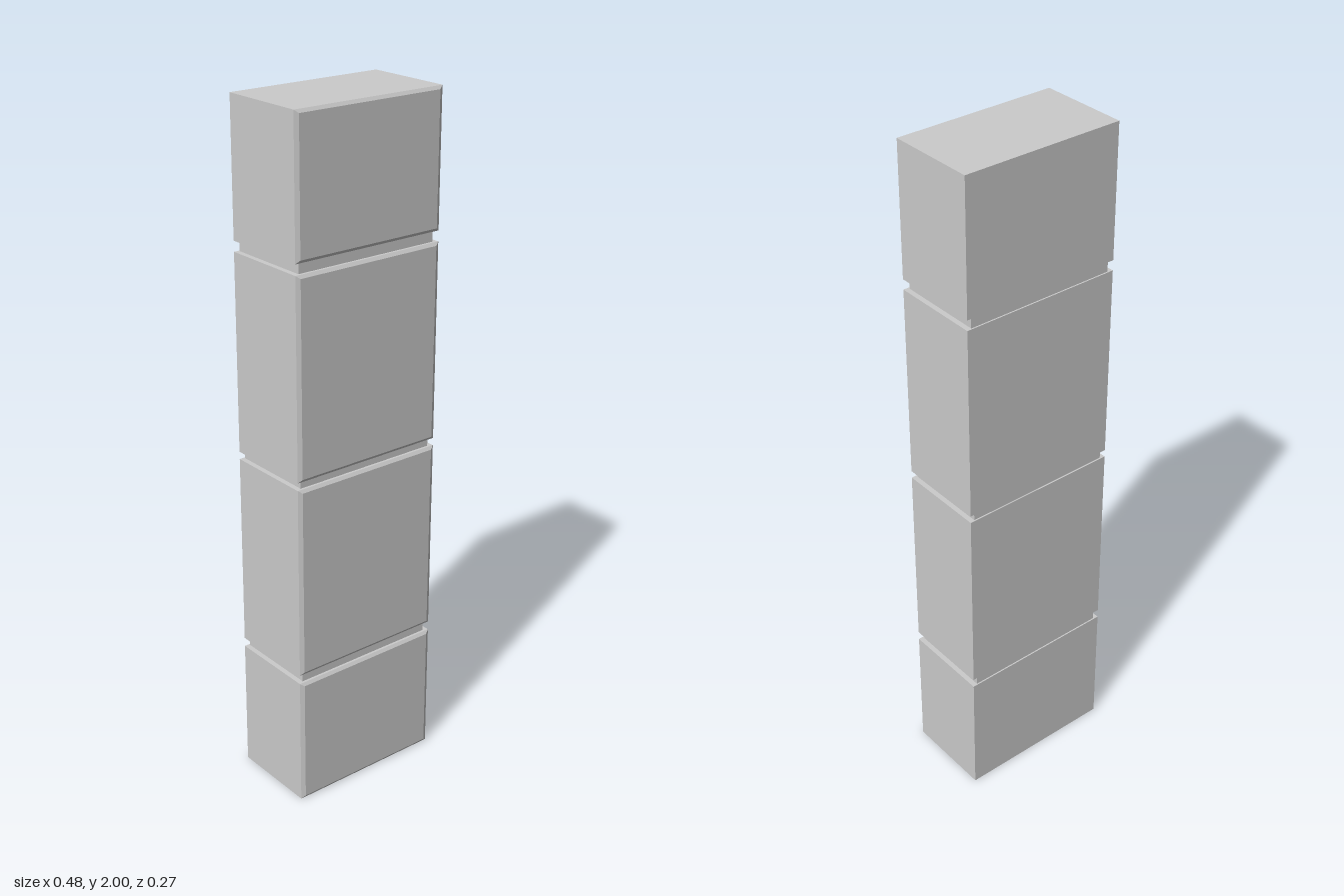
import * as THREE from 'three';

const material = new THREE.MeshStandardMaterial({ color: 0xcccccc, flatShading: true });
const HALF_W = 0.24, HALF_D = 0.135;
const BEVEL_DEPTH = 0.006, BEVEL_X = 0.012, BEVEL_Y = 0.009;

// Block whose front face is framed by a shallow bevel
function beveledBlock(y0, y1) {
  const geo = new THREE.BoxGeometry(HALF_W * 2, y1 - y0, HALF_D * 2, 1, 1, 2);
  const p = geo.attributes.position;
  for (let i = 0; i < p.count; i++) {
    const z = p.getZ(i);
    if (Math.abs(z) < 1e-6) p.setZ(i, HALF_D - BEVEL_DEPTH);
    else if (z > 0) {
      p.setX(i, p.getX(i) - Math.sign(p.getX(i)) * BEVEL_X);
      p.setY(i, p.getY(i) - Math.sign(p.getY(i)) * BEVEL_Y);
    }
  }
  const flat = geo.toNonIndexed();
  flat.computeVertexNormals();
  const mesh = new THREE.Mesh(flat, material);
  mesh.position.y = (y0 + y1) / 2;
  return mesh;
}

export function createModel() {
  const group = new THREE.Group();
  group.name = 'segmentedPillar';

  // Stacked blocks, separated by narrow grooves
  const blocks = [[0, 0.39], [0.417, 0.99], [1.012, 1.585], [1.615, 2]];
  blocks.forEach(([y0, y1], i) => {
    const block = beveledBlock(y0, y1);
    block.name = `block${i + 1}`;
    group.add(block);
  });

  // Recessed joints filling the grooves, nearly flush at the back
  const zFront = 0.122, zBack = -0.131;
  for (let i = 0; i < blocks.length - 1; i++) {
    const y0 = blocks[i][1], y1 = blocks[i + 1][0];
    const joint = new THREE.Mesh(new THREE.BoxGeometry(0.45, y1 - y0, zFront - zBack), material);
    joint.position.set(0, (y0 + y1) / 2, (zFront + zBack) / 2);
    joint.name = `joint${i + 1}`;
    group.add(joint);
  }
  return group;
}
